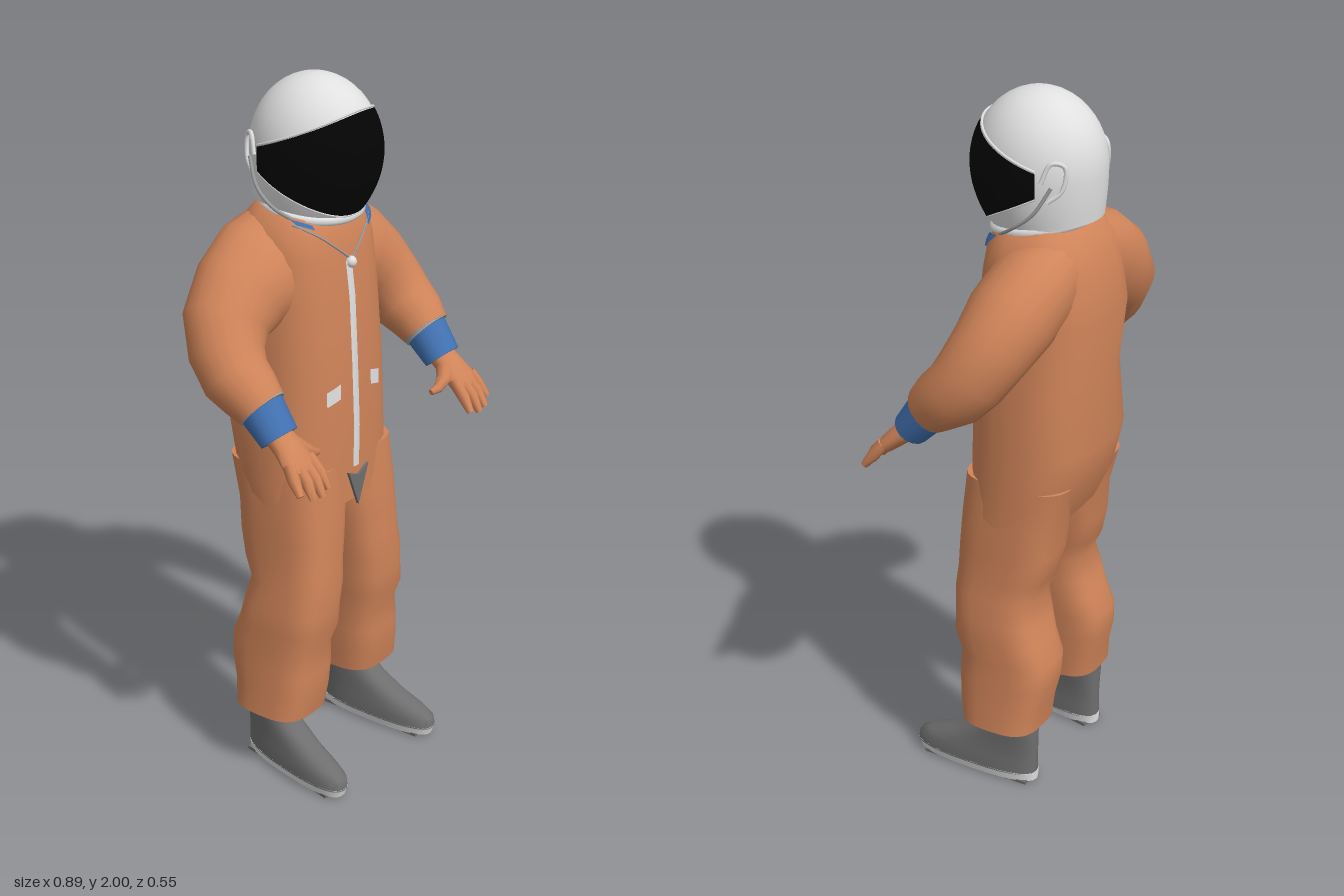
import * as THREE from 'three';
import { toCreasedNormals } from 'three/addons/utils/BufferGeometryUtils.js';

const V = (x, y, z) => new THREE.Vector3(x, y, z);
const lerp = THREE.MathUtils.lerp, clamp = THREE.MathUtils.clamp;

// Surface from a rule f(u, v), u and v in 0..1; u runs anticlockwise seen from the end of v
function grid(f, nu, nv, crease = 0.9) {
  const pos = [], idx = [];
  for (let j = 0; j <= nv; j++)
    for (let i = 0; i <= nu; i++) pos.push(...f(i / nu, j / nv).toArray());
  for (let j = 0; j < nv; j++)
    for (let i = 0; i < nu; i++) {
      const a = j * (nu + 1) + i, b = a + nu + 1;
      idx.push(a, a + 1, b + 1, a, b + 1, b);
    }
  const g = new THREE.BufferGeometry();
  g.setAttribute('position', new THREE.Float32BufferAttribute(pos, 3));
  g.setIndex(idx);
  return toCreasedNormals(g, crease);
}

const power = (c, p) => Math.sign(c) * Math.abs(c) ** (2 / p);

// Capped loft of horizontal rings [y, x0, x1, zFront, zBack], bottom to top
function stack(rings, p = 2.6, seg = 28) {
  const n = rings.length;
  return grid((u, v) => {
    const j = Math.round(v * (n + 1)) - 1, k = clamp(j, 0, n - 1), r = j === k ? 1 : 0;
    const [y, x0, x1, zf, zb] = rings[k], a = u * Math.PI * 2;
    return V((x0 + x1) / 2 + r * (x1 - x0) / 2 * power(Math.sin(a), p), y,
      (zf + zb) / 2 + r * (zf - zb) / 2 * power(Math.cos(a), p));
  }, seg, n + 1);
}

// Capped loft along a path of [x, y, z, thickness, width], rings square to the path
function limb(points, seg = 16, ref = V(0, 0.8, 1)) {
  const P = points.map(p => V(p[0], p[1], p[2])), n = P.length;
  return grid((u, v) => {
    const j = Math.round(v * (n + 1)) - 1, k = clamp(j, 0, n - 1), r = j === k ? 1 : 0;
    const t = P[Math.min(k + 1, n - 1)].clone().sub(P[Math.max(k - 1, 0)]).normalize();
    const e1 = ref.clone().addScaledVector(t, -ref.dot(t)).normalize();
    const e2 = t.clone().cross(e1), a = u * Math.PI * 2;
    const ra = points[k][3], rb = points[k][4] ?? ra;
    return P[k].clone().addScaledVector(e1, r * ra * Math.cos(a)).addScaledVector(e2, r * rb * Math.sin(a));
  }, seg, n + 1);
}

const TORSO = [
  [0.83, -0.222, 0.232, 0.09, -0.195], [0.92, -0.222, 0.232, 0.09, -0.235],
  [1.05, -0.217, 0.227, 0.092, -0.268], [1.23, -0.21, 0.22, 0.085, -0.252],
  [1.42, -0.2, 0.21, 0.075, -0.276], [1.54, -0.195, 0.205, 0.06, -0.255],
  [1.61, -0.18, 0.19, 0.048, -0.235], [1.645, -0.15, 0.165, 0.03, -0.21],
  [1.67, -0.125, 0.145, 0.0, -0.19],
];
// Front of the torso at (x, y)
function chestZ(x, y) {
  let i = 0;
  while (i < TORSO.length - 2 && TORSO[i + 1][0] < y) i++;
  const A = TORSO[i], B = TORSO[i + 1], t = clamp((y - A[0]) / (B[0] - A[0]), 0, 1);
  const [, x0, x1, zf, zb] = A.map((c, k) => lerp(c, B[k], t));
  const q = clamp(Math.abs(x - (x0 + x1) / 2) / ((x1 - x0) / 2), 0, 1);
  return (zf + zb) / 2 + (zf - zb) / 2 * (1 - q ** 2.6) ** (1 / 2.6);
}

// Helmet surface at angle a from the front and height y
function helmetAt(a, y, grow = 0) {
  const c = Math.cos(a);
  const s = y > 1.8 ? Math.sqrt(Math.max(0, 1 - ((y - 1.8) / 0.2) ** 2))
    : 1 - (0.22 + 0.15 * c) * ((1.8 - y) / 0.17) ** 2;
  return V(0.01 + (0.165 * s + grow) * Math.sin(a), y, -0.06 + (0.18 * s + grow) * c);
}

export function createModel() {
  const root = new THREE.Group();
  root.name = 'spaceSuitFigure';
  const mat = (name, color, extra) => Object.assign(new THREE.MeshStandardMaterial({ color }), { name }, extra);
  const suit = mat('suitOrange', 0xd08459), white = mat('shellWhite', 0xe0e0e0), black = mat('visorBlack', 0x040404);
  const blue = mat('cuffBlue', 0x4272b2), grey = mat('bootGrey', 0x6e6e6e), steel = mat('fittingGrey', 0x9a9c9e);
  const patchBlue = mat('patchBlue', 0x4272b2, { side: THREE.DoubleSide });
  const patchWhite = mat('patchWhite', 0xe0e0e0, { side: THREE.DoubleSide });
  const add = (name, geo, m, parent = root) => {
    const mesh = new THREE.Mesh(geo, m);
    mesh.name = name;
    parent.add(mesh);
    return mesh;
  };
  const tube = (pts, r, n = 24) => new THREE.TubeGeometry(new THREE.CatmullRomCurve3(pts), n, r, 6);

  add('torso', stack(TORSO), suit);

  // Helmet shell, visor and rims
  const lowEdge = a => 1.652 - 0.025 * Math.cos(a);
  add('helmetShell', grid((u, v) => {
    const a = u * Math.PI * 2;
    return helmetAt(a, v < 0.4 ? lerp(lowEdge(a), 1.8, v / 0.4) : 1.8 + 0.2 * Math.sin((v - 0.4) / 0.6 * Math.PI / 2));
  }, 40, 20, 1.2), white);
  const A = 1.97, sweep = a => (1 - Math.cos(a)) / (1 - Math.cos(A));
  const visorTop = a => 1.92 - 0.095 * sweep(a), visorLow = a => 1.645 + 0.115 * sweep(a) ** 1.15;
  add('visor', grid((u, v) => {
    const a = lerp(-A, A, u);
    return helmetAt(a, lerp(visorLow(a), visorTop(a), v), 0.005);
  }, 40, 14, 1.2), black);
  const edge = (f, r, lift) => tube(Array.from({ length: 25 }, (_, i) => {
    const a = lerp(-A, A, i / 24);
    return helmetAt(a, f(a) + lift, 0.003);
  }), r, 60);
  add('visorUpperRim', edge(visorTop, 0.004, 0.004), white);
  add('visorLowerRim', edge(visorLow, 0.003, -0.003), white);
  const neck = add('neckRing', new THREE.TorusGeometry(1, 0.1, 8, 40), white);
  neck.scale.set(0.137, 0.137, 0.13);
  neck.geometry.rotateX(Math.PI / 2);
  neck.position.set(0.01, 1.653, -0.075);
  neck.rotation.x = 0.16;

  // Hinge and hose on each side of the helmet
  for (const s of [-1, 1]) {
    const at = (a, y, g) => helmetAt(s * a, y, g);
    add('helmetHinge', tube([at(2.05, 1.8, 0.004), at(2.2, 1.85, 0.006), at(2.4, 1.84, 0.006), at(2.35, 1.78, 0.006), at(2.15, 1.75, 0.004)], 0.006), white);
    add('helmetHose', tube([at(2.2, 1.79, 0.006), at(1.95, 1.72, 0.014), at(1.65, 1.675, 0.018), at(1.3, 1.64, 0.015)], 0.005), steel);
  }

  // Zip, cord and chest fittings
  add('zip', limb([0.93, 1.05, 1.23, 1.42, 1.52].map(y => [-0.01, y, chestZ(-0.01, y) + 0.001, 0.004, 0.013]), 8, V(0, 0, 1)), white);
  add('zipPull', new THREE.SphereGeometry(0.016, 10, 8), white).position.set(-0.005, 1.515, chestZ(0, 1.515) + 0.004);
  for (const s of [-1, 1])
    add('neckCord', tube([0, 1, 2, 3, 4].map(i => {
      const x = s * 0.036 * i, y = 1.52 + 0.029 * i;
      return V(x, y, chestZ(x, y) + 0.003);
    }), 0.003), steel);
  // Patch lying on the chest, skewed by a slope
  const patch = (name, x, y, w, h, m, slope) => add(name, grid((u, v) => {
    const px = x + (u - 0.5) * w, py = y + (v - 0.5) * h + (u - 0.5) * w * slope;
    return V(px, py, chestZ(px, py) + 0.006);
  }, 4, 4), m);
  patch('rightFitting', -0.1, 1.165, 0.046, 0.042, patchWhite, 0.3);
  patch('leftFitting', 0.077, 1.165, 0.046, 0.042, patchWhite, -0.3);
  patch('chestPatch', 0.125, 1.612, 0.06, 0.036, patchBlue, 0.3);
  patch('collarPatch', -0.125, 1.635, 0.03, 0.012, patchBlue, -0.5);
  const tri = new THREE.Shape([[-0.05, 0.92], [-0.005, 0.81], [0.04, 0.92], [-0.005, 0.9]].map(p => new THREE.Vector2(...p)));
  add('crotchPatch', new THREE.ExtrudeGeometry(tri, { depth: 0.008, bevelEnabled: false }), grey).position.z = 0.089;

  // Trouser leg rings: y, inner, outer, front, back
  const LEG = [
    [0.2, 0.065, 0.277, 0.063, -0.172], [0.27, 0.06, 0.268, 0.075, -0.18], [0.34, 0.055, 0.262, 0.08, -0.197],
    [0.41, 0.052, 0.255, 0.078, -0.2], [0.47, 0.045, 0.255, 0.1, -0.175], [0.53, 0.04, 0.25, 0.1, -0.16],
    [0.6, 0.035, 0.237, 0.105, -0.142], [0.66, 0.028, 0.23, 0.1, -0.17], [0.74, 0.014, 0.226, 0.098, -0.188],
    [0.83, 0.0, 0.223, 0.092, -0.195], [0.95, 0.0, 0.212, 0.082, -0.23],
  ];

  for (const s of [-1, 1]) {
    const side = s < 0 ? 'right' : 'left';
    const dx = s > 0 ? 0.008 : 0;
    add(side + 'TrouserLeg', stack(LEG.map(([y, i, o, f, b]) =>
      s > 0 ? [y, i, o + dx, f, b] : [y, -o, -i, f, b]), 3), suit);

    // Boot, toes towards +z
    const boot = new THREE.Group();
    boot.name = side + 'Boot';
    boot.position.set(s > 0 ? 0.18 : -0.17, 0, s > 0 ? -0.077 : -0.095);
    boot.rotation.y = s > 0 ? 0.01 : -0.2;
    root.add(boot);
    const ring = (y, w, f, b = -0.075) => [y, -w, w, f, b];
    add('bootUpper', stack([ring(0.028, 0.056, 0.316), ring(0.055, 0.055, 0.312), ring(0.075, 0.052, 0.28),
      ring(0.1, 0.049, 0.215), ring(0.14, 0.048, 0.135), ring(0.185, 0.05, 0.078), ring(0.23, 0.05, 0.07)], 2.5), grey, boot);
    add('bootSole', stack([ring(0.006, 0.05, 0.308, -0.076), ring(0.032, 0.056, 0.316, -0.077)], 2.5), white, boot);
    for (let i = 0; i < 6; i++)
      add('soleTread', new THREE.BoxGeometry(0.076, 0.009, 0.048), grey, boot).position.set(0, 0.0045, -0.035 + i * 0.058);

    // Arm, mirrored, with the left one held a little further forward
    const arm = new THREE.Group();
    arm.name = side + 'Arm';
    root.add(arm);
    const m = pts => pts.map(([x, y, z, a, b]) => [s * x, y, z + (s > 0 ? 0.038 * clamp((x - 0.1) / 0.2, 0, 1) : 0), a, b]);
    add('sleeve', limb(m([[0.05, 1.53, -0.115, 0.1, 0.14], [0.15, 1.5, -0.12, 0.12, 0.147], [0.23, 1.453, -0.125, 0.12, 0.134],
      [0.3, 1.392, -0.12, 0.108, 0.118], [0.34, 1.325, -0.085, 0.1], [0.353, 1.275, -0.045, 0.092],
      [0.353, 1.243, 0.0, 0.082], [0.35, 1.21, 0.034, 0.07]]), 20), suit, arm);
    add('sleeveEdge', limb(m([[0.35, 1.214, 0.03, 0.07], [0.35, 1.206, 0.039, 0.068]])), steel, arm);
    add('cuff', limb(m([[0.35, 1.217, 0.027, 0.062, 0.066], [0.35, 1.14, 0.092, 0.05, 0.057]])), blue, arm);
    add('palm', limb(m([[0.35, 1.15, 0.082, 0.034, 0.04], [0.35, 1.12, 0.12, 0.03, 0.048],
      [0.354, 1.088, 0.155, 0.025, 0.056], [0.358, 1.066, 0.176, 0.018, 0.053]])), suit, arm);
    for (let i = 0; i < 4; i++) {
      const k = i - 1.5, drop = [0.008, 0, 0.004, 0.02][i];
      add('finger', limb(m([[0.354 + k * 0.026, 1.095, 0.155, 0.018], [0.357 + k * 0.031, 1.052 + drop / 2, 0.2 - drop, 0.017],
        [0.36 + k * 0.034, 1.008 + drop, 0.226 - drop, 0.01]]), 8), suit, arm);
    }
    add('thumb', limb(m([[0.335, 1.13, 0.11, 0.026], [0.3, 1.1, 0.132, 0.021], [0.27, 1.082, 0.138, 0.015],
      [0.245, 1.075, 0.136, 0.009]]), 8), suit, arm);
  }
  return root;
}
